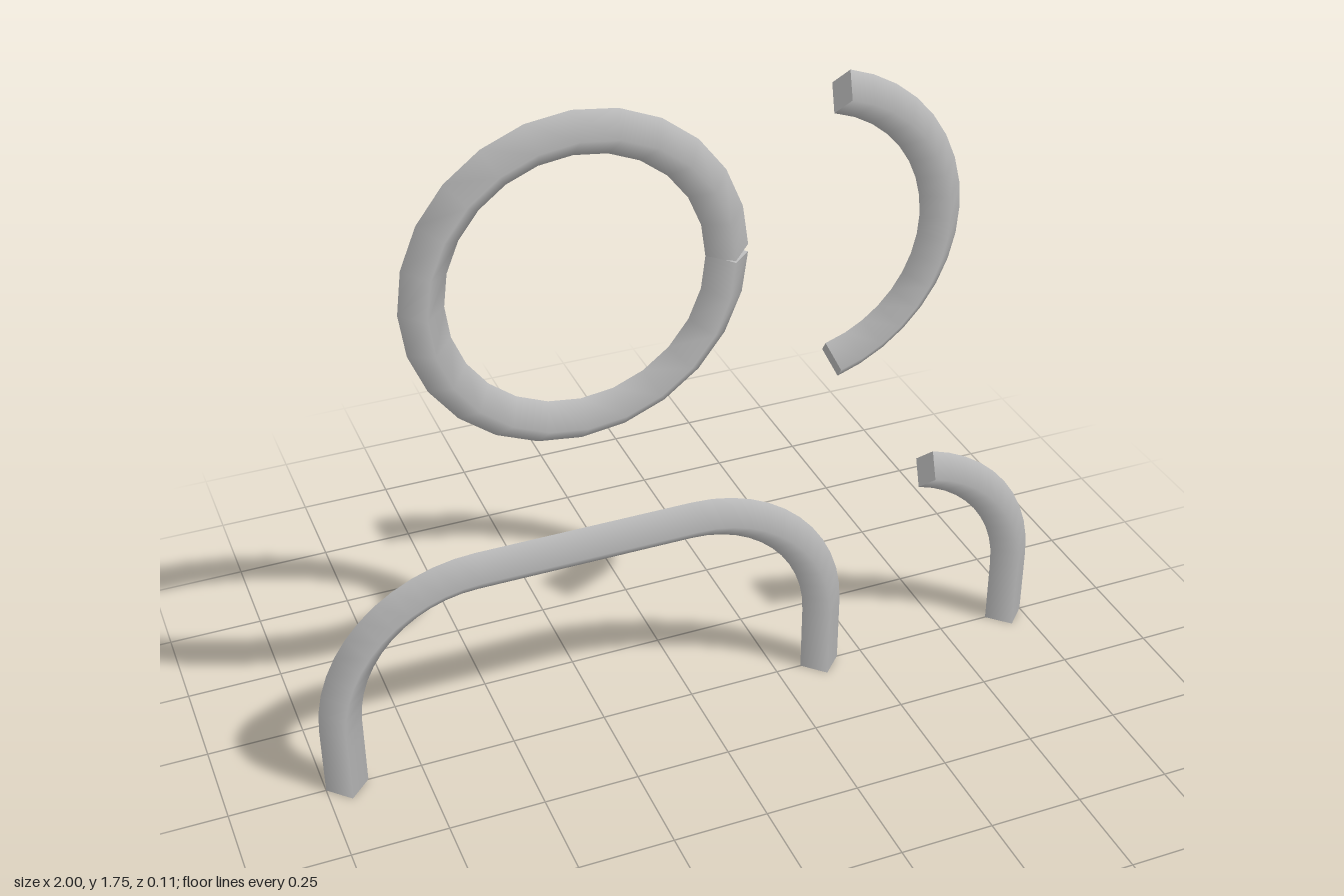
import * as THREE from 'three';

const R = 0.375; // bend radius of the centre lines
const T = 0.055; // half diagonal of the square bar

// Points along an arc in the xy plane, angles in degrees
function arc(cx, cy, from, to, steps) {
  return Array.from({ length: steps + 1 }, (_, i) => {
    const a = THREE.MathUtils.degToRad(from + ((to - from) * i) / steps);
    return new THREE.Vector2(cx + R * Math.cos(a), cy + R * Math.sin(a));
  });
}

// Four-sided bar with smooth radial normals and flat end caps, swept along a path
function sweep(path) {
  const pos = [], nor = [], idx = [];
  const last = path.length - 1;
  const sections = path.map((p, i) => {
    const t = path[Math.min(i + 1, last)].clone().sub(path[Math.max(i - 1, 0)]).normalize();
    const side = new THREE.Vector3(t.y, -t.x, 0);
    const dirs = [0, 1, 2, 3].map((k) => {
      const a = (k * Math.PI) / 2;
      return side.clone().multiplyScalar(Math.cos(a)).add(new THREE.Vector3(0, 0, Math.sin(a)));
    });
    return { p, t, dirs };
  });
  const addSection = (s, normal) => s.dirs.forEach((d) => {
    const n = normal || d;
    pos.push(s.p.x + d.x * T, s.p.y + d.y * T, d.z * T);
    nor.push(n.x, n.y, n.z);
  });
  sections.forEach((s) => addSection(s));
  for (let i = 0; i < last; i++) {
    for (let k = 0; k < 4; k++) {
      const a = i * 4 + k, b = i * 4 + ((k + 1) % 4);
      idx.push(a, a + 4, b, b, a + 4, b + 4);
    }
  }
  // End caps
  [[sections[0], -1], [sections[last], 1]].forEach(([s, sign]) => {
    const o = pos.length / 3;
    addSection(s, new THREE.Vector3(s.t.x * sign, s.t.y * sign, 0));
    if (sign < 0) idx.push(o, o + 1, o + 2, o, o + 2, o + 3);
    else idx.push(o, o + 2, o + 1, o, o + 3, o + 2);
  });
  const g = new THREE.BufferGeometry();
  g.setAttribute('position', new THREE.Float32BufferAttribute(pos, 3));
  g.setAttribute('normal', new THREE.Float32BufferAttribute(nor, 3));
  g.setIndex(idx);
  return g;
}

export function createModel() {
  const group = new THREE.Group();
  const metal = new THREE.MeshStandardMaterial({ color: 0xbbbbbb, side: THREE.DoubleSide });
  metal.name = 'grey';
  const add = (name, path) => {
    const mesh = new THREE.Mesh(sweep(path), metal);
    mesh.name = name;
    group.add(mesh);
  };
  const v = (x, y) => new THREE.Vector2(x, y);

  // Nearly closed ring with a narrow slit on its left
  add('splitRing', arc(-0.285, 1.323, 0.4, 359.6, 24));
  // Open curved bar beside the ring
  add('curvedBar', arc(0.28, 1.323, -75, 75, 16));
  // Wide arch: leg, bend, straight top, bend, leg
  add('arch', [
    v(0.375, 0), v(0.375, 0.15),
    ...arc(0, 0.195, 0, 90, 12),
    ...arc(-0.57, 0.195, 90, 180, 12),
    v(-0.945, 0.15), v(-0.945, 0),
  ]);
  // Hooked bar: leg and partial bend
  add('hookedBar', [v(0.945, 0), v(0.945, 0.15), ...arc(0.57, 0.195, 0, 75, 10)]);

  return group;
}
